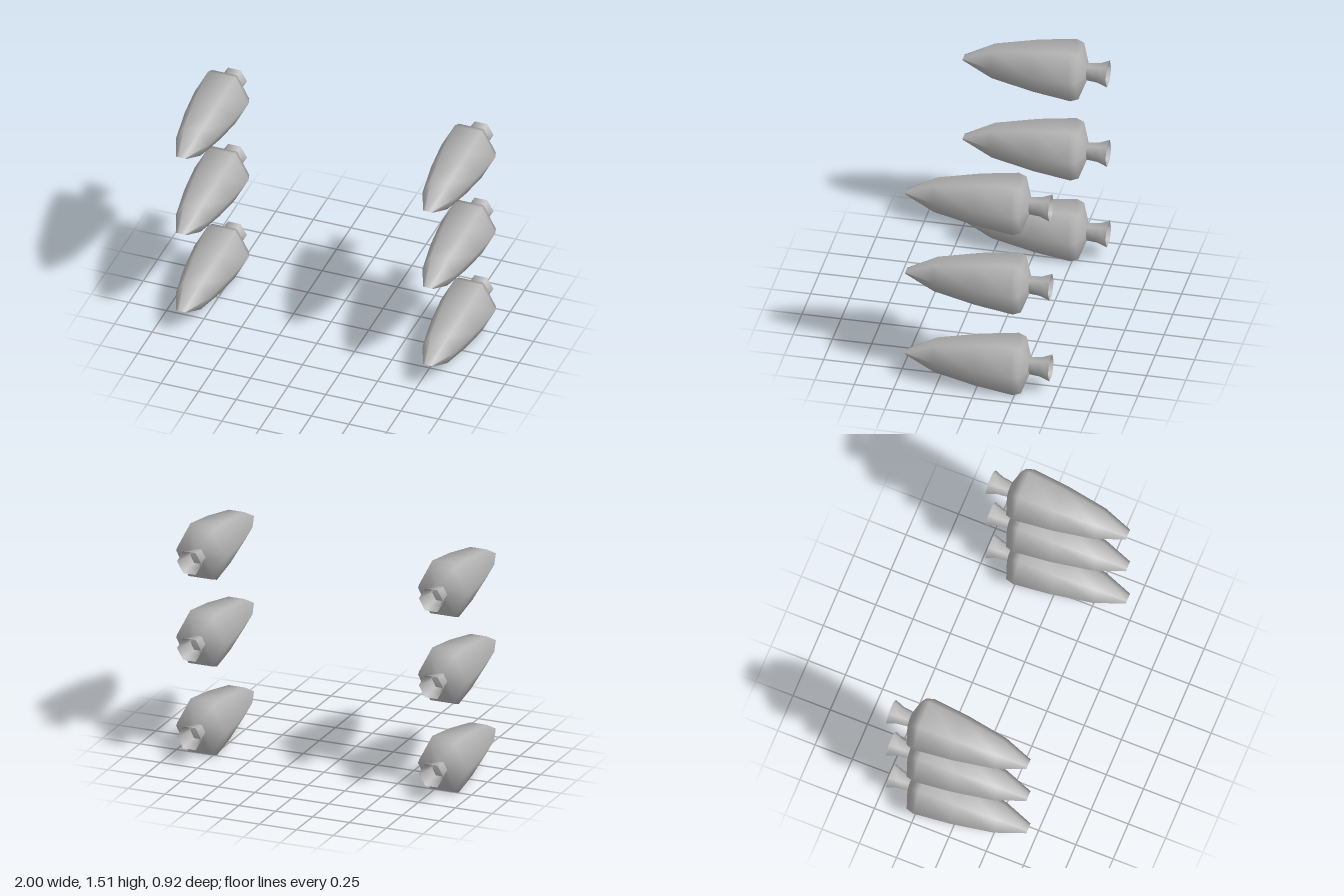
import * as THREE from 'three';

const SIDES = 6;

// Skin a list of [z, halfWidth, halfHeight] hexagonal sections, ordered front to back
function hexLoft(sections) {
  const positions = [], index = [];
  for (const [z, w, h] of sections) {
    for (let j = 0; j < SIDES; j++) {
      const a = (j / SIDES) * Math.PI * 2;
      positions.push(Math.cos(a) * w, (Math.sin(a) / Math.sin(Math.PI / 3)) * h, z);
    }
  }
  for (let i = 0; i < sections.length - 1; i++) {
    for (let j = 0; j < SIDES; j++) {
      const a = i * SIDES + j, b = i * SIDES + (j + 1) % SIDES;
      const c = a + SIDES, d = b + SIDES;
      index.push(a, c, b, b, c, d);
    }
  }
  const geometry = new THREE.BufferGeometry();
  geometry.setAttribute('position', new THREE.Float32BufferAttribute(positions, 3));
  geometry.setIndex(index);
  geometry.computeVertexNormals();
  return geometry;
}

export function createModel() {
  const model = new THREE.Group();
  model.name = 'podCluster';

  const grey = new THREE.MeshStandardMaterial({ color: 0xb4b4b4, side: THREE.DoubleSide });
  grey.name = 'grey';

  // Body: wedge tip, swelling hull, sharp shoulder, closed back
  const bodyGeometry = hexLoft([
    [0.46, 0.035, 0],
    [0.27, 0.108, 0.094],
    [0, 0.155, 0.144],
    [-0.24, 0.18, 0.174],
    [-0.29, 0.165, 0.157],
    [-0.33, 0.055, 0.052],
    [-0.33, 0, 0],
  ]);

  // Open flared exhaust nozzle
  const nozzleGeometry = hexLoft([
    [-0.32, 0.05, 0.047],
    [-0.4, 0.06, 0.053],
    [-0.462, 0.084, 0.073],
  ]);

  // Three pods stacked on each side
  for (const side of [-1, 1]) {
    for (const y of [0.175, 0.762, 1.339]) {
      const pod = new THREE.Group();
      pod.name = side > 0 ? 'leftPod' : 'rightPod';
      const body = new THREE.Mesh(bodyGeometry, grey);
      body.name = 'body';
      const nozzle = new THREE.Mesh(nozzleGeometry, grey);
      nozzle.name = 'nozzle';
      pod.add(body, nozzle);
      pod.position.set(side * 0.82, y, 0);
      model.add(pod);
    }
  }
  return model;
}
